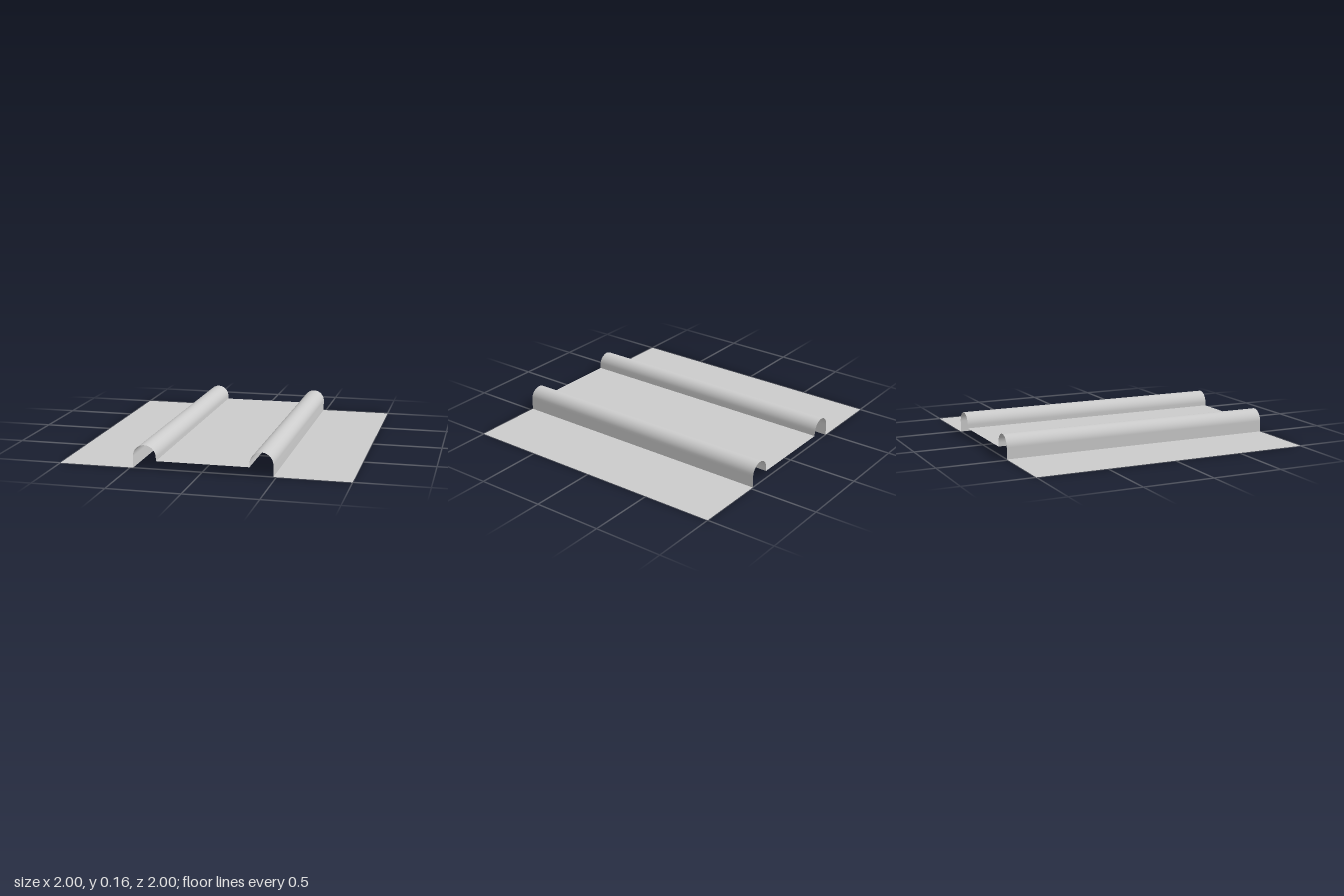
import * as THREE from 'three';

const LENGTH = 2, MID_Y = 0.055, RIDGE_X = 0.4, RADIUS = 0.08;

const material = new THREE.MeshStandardMaterial({ color: 0xcccccc, side: THREE.DoubleSide });

// Sheet running along z whose cross-section follows the [x, y] points from -x to +x
function sheet(name, points) {
  const geometry = new THREE.PlaneGeometry(1, LENGTH, points.length - 1, 1);
  geometry.rotateX(-Math.PI / 2);
  const pos = geometry.attributes.position;
  for (let i = 0; i < pos.count; i++) {
    const [x, y] = points[i % points.length];
    pos.setX(i, x);
    pos.setY(i, y);
  }
  geometry.computeVertexNormals();
  const mesh = new THREE.Mesh(geometry, material);
  mesh.name = name;
  return mesh;
}

// Half-round ridge: short inner wall, arch, tall outer wall
function ridgeProfile() {
  const points = [[RIDGE_X - RADIUS, MID_Y]];
  const steps = 24;
  for (let i = 0; i <= steps; i++) {
    const a = Math.PI * (1 - i / steps);
    points.push([RIDGE_X + RADIUS * Math.cos(a), RADIUS + RADIUS * Math.sin(a)]);
  }
  points.push([RIDGE_X + RADIUS, 0]);
  return points;
}

const mirrored = (points) => points.map(([x, y]) => [-x, y]).reverse();

export function createModel() {
  const group = new THREE.Group();
  group.name = 'ridgedSheet';

  const inner = RIDGE_X - RADIUS, outer = RIDGE_X + RADIUS;

  // Raised panel between the ridges
  group.add(sheet('middlePanel', [[-inner, MID_Y], [inner, MID_Y]]));

  // Ridges and the low panels beside them
  const ridge = ridgeProfile();
  const flat = [[outer, 0], [1, 0]];
  group.add(sheet('leftRidge', ridge), sheet('rightRidge', mirrored(ridge)));
  group.add(sheet('leftPanel', flat), sheet('rightPanel', mirrored(flat)));

  return group;
}
